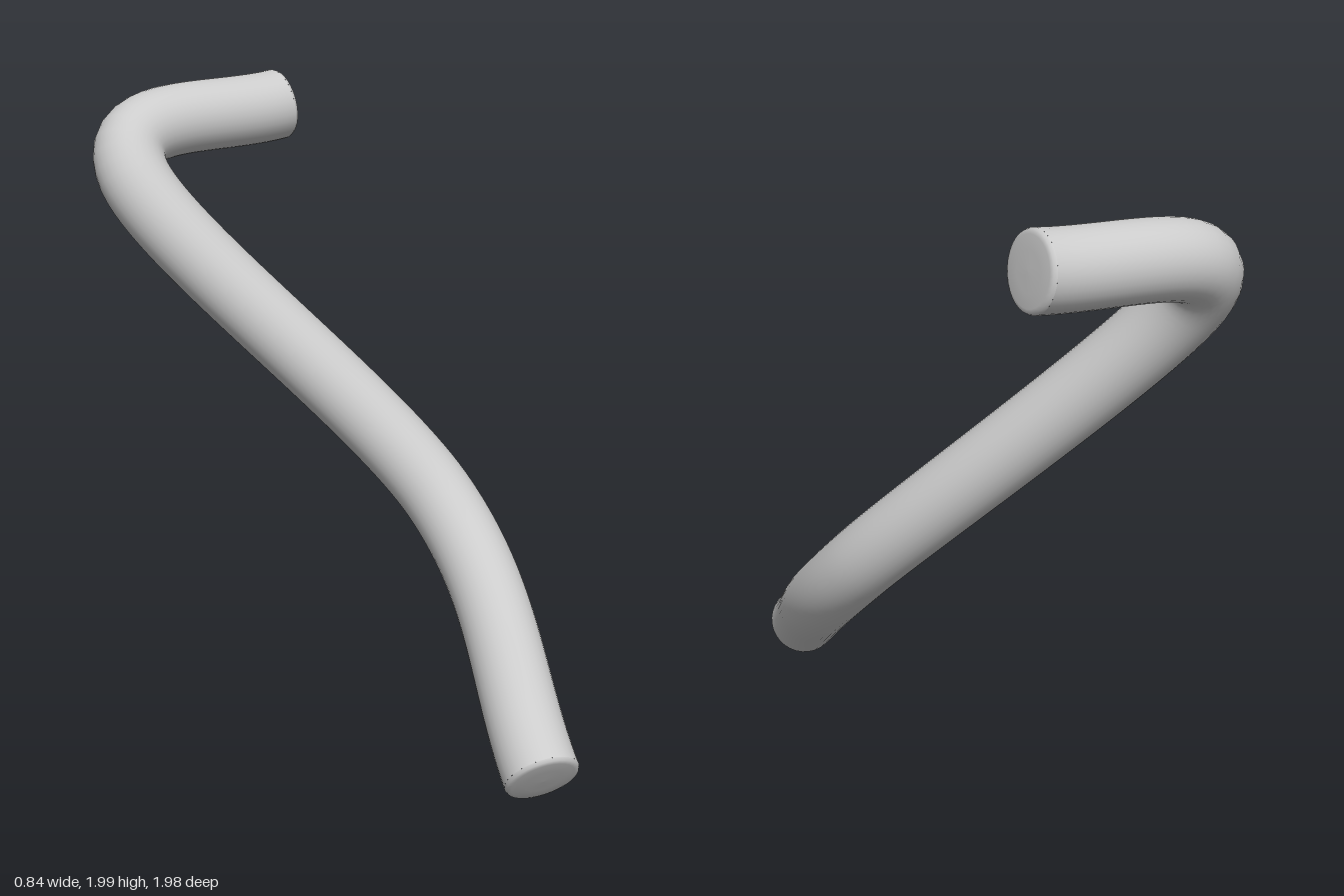
import * as THREE from 'three';

const RADIUS = 0.12;
const V = (x, y, z) => new THREE.Vector3(x, y, z);

// Centre line: points with the tangent at each
const KNOTS = [
  [V(0, 0.106, 0.903), V(0.29, 0.6, -0.83)],
  [V(0.29, 0.7, 0.08), V(-0.15, 0.81, -0.85)],
  [V(-0.3, 1.72, -0.8), V(0.01, 0.59, -0.44)],
  [V(0.305, 1.88, -0.81), V(0.8, 0.1, 0.08)],
];

function createPath() {
  const path = new THREE.CurvePath();
  for (let i = 0; i < KNOTS.length - 1; i++) {
    const [a, ta] = KNOTS[i];
    const [b, tb] = KNOTS[i + 1];
    path.add(new THREE.CubicBezierCurve3(
      a, a.clone().addScaledVector(ta, 1 / 3),
      b.clone().addScaledVector(tb, -1 / 3), b));
  }
  return path;
}

export function createModel() {
  const group = new THREE.Group();
  group.name = 'bentRod';
  const material = new THREE.MeshStandardMaterial({ color: 0xcccccc });

  // Bent round rod
  const rod = new THREE.Mesh(new THREE.TubeGeometry(createPath(), 96, RADIUS, 32), material);
  rod.name = 'rod';
  group.add(rod);

  // Nearly flat end caps with softened rims
  const profile = [[1, 0], [0.96, 0.01], [0.85, 0.014], [0.5, 0.016], [0, 0.017]]
    .map(([r, h]) => new THREE.Vector2(r * RADIUS, h));
  const capGeometry = new THREE.LatheGeometry(profile, 32);
  const addCap = (name, [point, tangent], sign) => {
    const cap = new THREE.Mesh(capGeometry, material);
    cap.name = name;
    cap.position.copy(point);
    cap.quaternion.setFromUnitVectors(V(0, 1, 0), tangent.clone().multiplyScalar(sign).normalize());
    group.add(cap);
  };
  addCap('lowerCap', KNOTS[0], -1);
  addCap('upperCap', KNOTS[KNOTS.length - 1], 1);

  return group;
}
